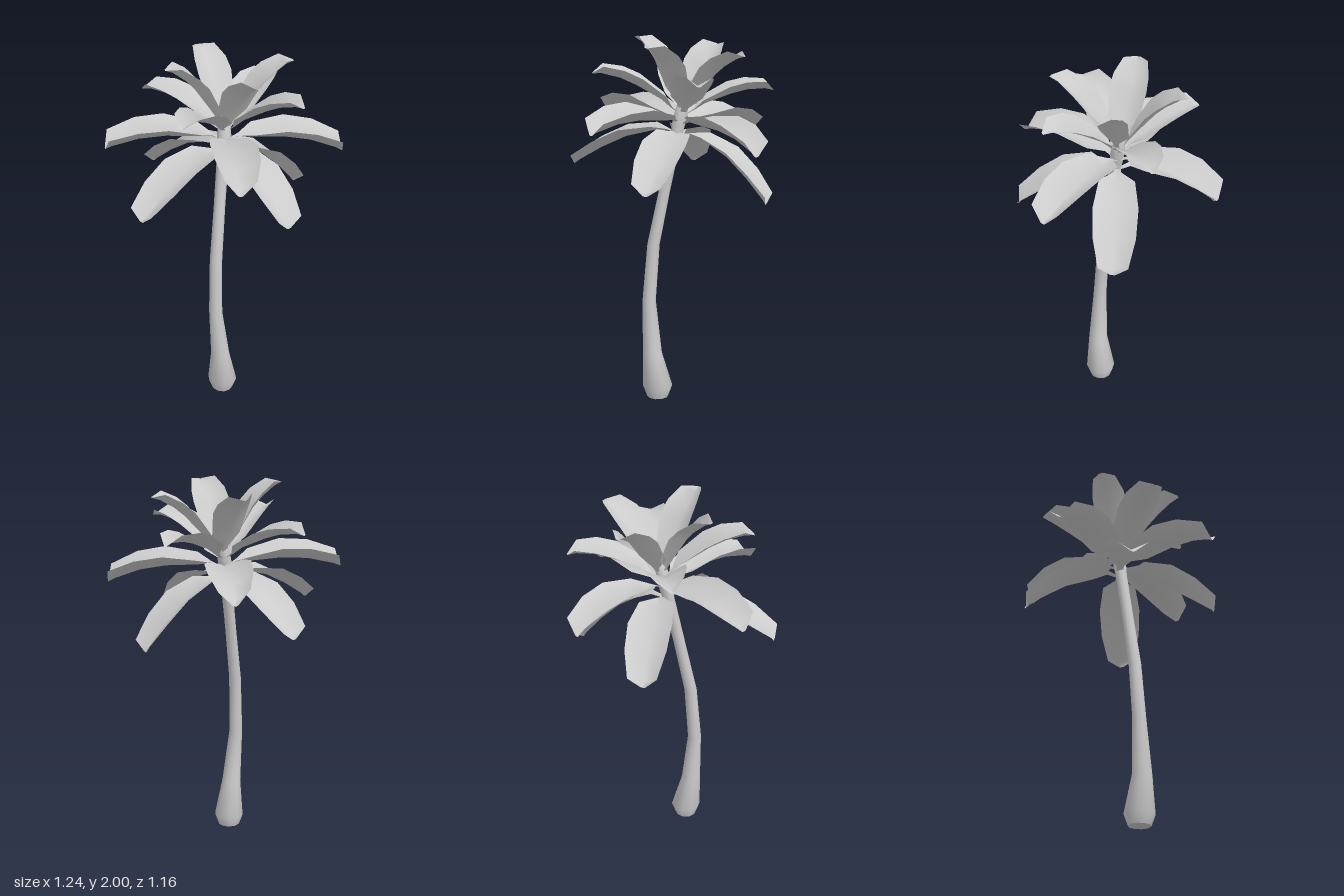
import * as THREE from 'three';
import { toCreasedNormals } from 'three/addons/utils/BufferGeometryUtils.js';

const trunkMaterial = new THREE.MeshStandardMaterial({ color: 0xcccccc });
const leafMaterial = new THREE.MeshStandardMaterial({ color: 0xcccccc, side: THREE.DoubleSide });

// Trunk rings from the ground up: y, centre x, centre z, radius
const RINGS = [
  [0, -0.035, 0.13, 0.06], [0.06, -0.035, 0.13, 0.082], [0.26, -0.05, 0.155, 0.053],
  [0.56, -0.075, 0.155, 0.037], [0.88, -0.068, 0.127, 0.034], [1.18, -0.04, 0.07, 0.031],
  [1.47, -0.012, 0.012, 0.032], [1.57, -0.003, -0.008, 0.038], [1.65, 0.004, -0.024, 0.03],
  [1.68, 0.005, -0.028, 0.014],
];

// Shared frond outline from stalk to tip: share of the half width, share of the edge lift
const OUTLINE = [[0.12, 0], [0.18, 0.15], [0.8, 0.6], [1, 1], [0.94, 1], [0.66, 0.85], [0.1, 0.06]];

// Each tier has a midrib (distance out, height at each outline station)
// and four fronds (compass angle, length factor, upward tilt)
const TIERS = [
  { name: 'topFrond', halfWidth: 0.098, lift: 0.048,
    midrib: [[0.015, 1.61], [0.05, 1.66], [0.085, 1.71], [0.18, 1.835], [0.23, 1.885], [0.3, 1.935], [0.34, 1.95]],
    fronds: [[77, 1.1, 0], [164, 1.03, 0], [-111, 1, 0], [-11, 1.04, 0]] },
  { name: 'upperFrond', halfWidth: 0.106, lift: 0.052,
    midrib: [[0.015, 1.59], [0.06, 1.62], [0.11, 1.66], [0.24, 1.725], [0.32, 1.755], [0.41, 1.77], [0.455, 1.765]],
    fronds: [[33, 0.96, 0.08], [125, 1.09, 0], [-150, 1.02, -0.07], [-52, 1.03, 0]] },
  { name: 'middleFrond', halfWidth: 0.12, lift: 0.076,
    midrib: [[0.015, 1.54], [0.07, 1.56], [0.14, 1.56], [0.31, 1.565], [0.45, 1.55], [0.59, 1.51], [0.622, 1.495]],
    fronds: [[4, 1, 0], [91, 0.95, 0], [179, 1, 0], [-93, 0.92, -0.01]] },
  { name: 'lowerFrond', halfWidth: 0.116, lift: 0.051,
    midrib: [[0.015, 1.48], [0.07, 1.495], [0.14, 1.485], [0.29, 1.43], [0.42, 1.35], [0.54, 1.26], [0.56, 1.24]],
    fronds: [[58, 0.93, 0], [143, 1.02, 0], [-128, 0.93, 0], [-30, 0.98, -0.11]] },
];

const CROWN = new THREE.Vector3(0.003, 1.55, -0.015);

// Bends and tapers a cylinder through the rings
function trunkGeometry() {
  const last = RINGS.length - 1;
  const geometry = new THREE.CylinderGeometry(1, 1, last, 10, last);
  const pos = geometry.attributes.position;
  for (let i = 0; i < pos.count; i++) {
    const [y, cx, cz, r] = RINGS[Math.round(pos.getY(i) + last / 2)];
    pos.setXYZ(i, cx + pos.getX(i) * r, y, cz + pos.getZ(i) * r);
  }
  return toCreasedNormals(geometry, 0.9);
}

// A thin blade growing along +x, folded along its midrib
function frondGeometry({ halfWidth, lift, midrib }) {
  const points = [];
  const index = [];
  midrib.forEach(([x, y], i) => {
    const before = midrib[Math.max(i - 1, 0)];
    const after = midrib[Math.min(i + 1, midrib.length - 1)];
    const normal = new THREE.Vector2(before[1] - after[1], after[0] - before[0]).normalize();
    const [widthShare, liftShare] = OUTLINE[i];
    for (const side of [-1, 0, 1]) {
      const up = side ? lift * liftShare : 0;
      points.push(x + normal.x * up, y + normal.y * up - CROWN.y, side * halfWidth * widthShare);
    }
    if (i === 0) return;
    for (let j = 0; j < 2; j++) {
      const a = (i - 1) * 3 + j;
      index.push(a, a + 1, a + 3, a + 1, a + 4, a + 3);
    }
  });
  const geometry = new THREE.BufferGeometry();
  geometry.setAttribute('position', new THREE.Float32BufferAttribute(points, 3));
  geometry.setIndex(index);
  geometry.computeVertexNormals();
  return geometry;
}

export function createModel() {
  const palm = new THREE.Group();
  palm.name = 'palmTree';

  const trunk = new THREE.Mesh(trunkGeometry(), trunkMaterial);
  trunk.name = 'trunk';
  palm.add(trunk);

  // Crown leaning with the top of the trunk
  const crown = new THREE.Group();
  crown.name = 'crown';
  crown.position.copy(CROWN);
  crown.rotation.set(-0.075, 0, -0.07);
  for (const tier of TIERS) {
    const geometry = frondGeometry(tier);
    for (const [angle, length, tilt] of tier.fronds) {
      const frond = new THREE.Mesh(geometry, leafMaterial);
      frond.name = tier.name;
      frond.rotation.set(0, -THREE.MathUtils.degToRad(angle), tilt);
      frond.scale.x = length;
      crown.add(frond);
    }
  }
  palm.add(crown);
  return palm;
}
